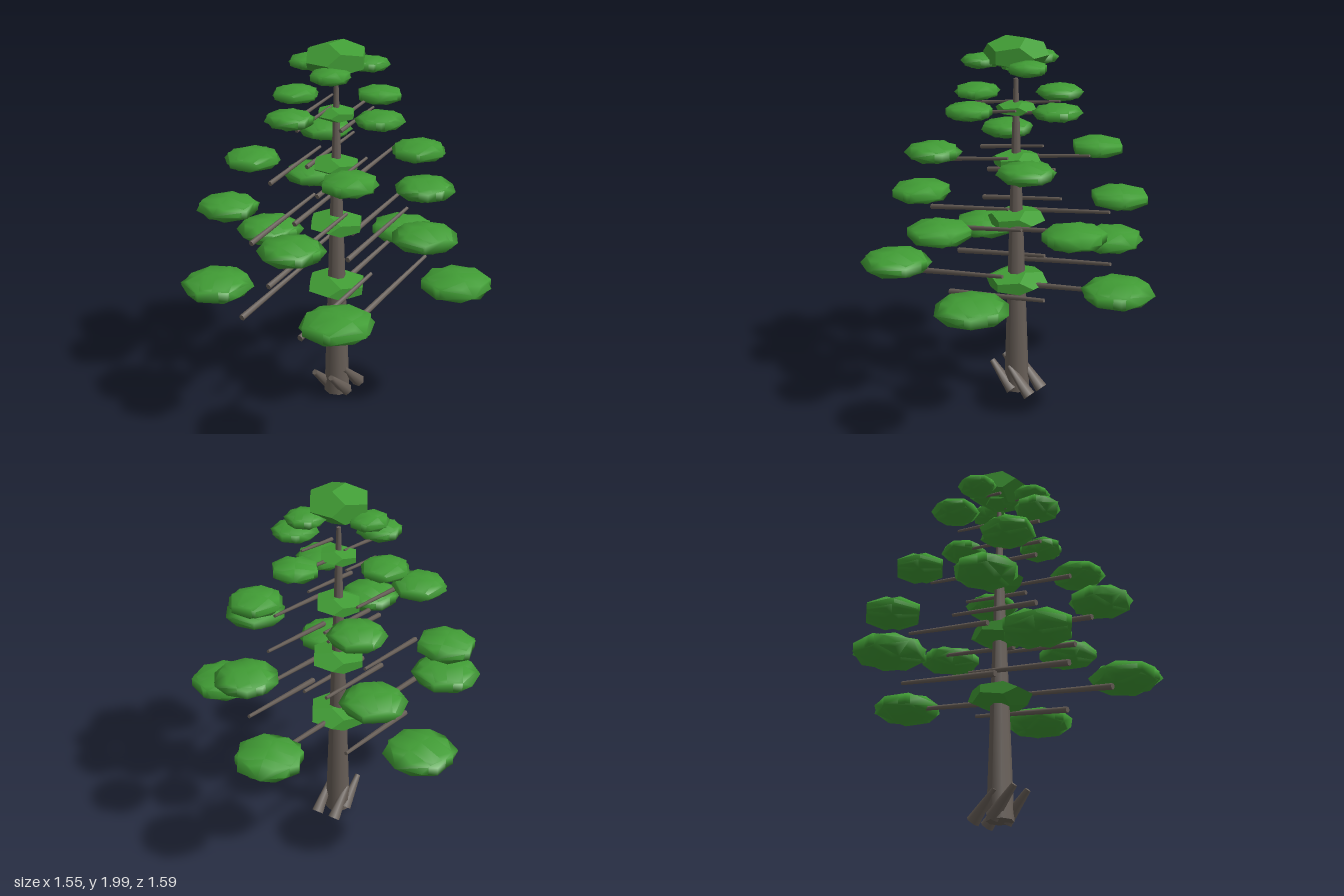
import * as THREE from 'three';

const TRUNK_X = -0.06;

// One entry per level: pads, their ring, size and height, and the inner clump and branch on that level
const TIERS = [
  { count: 5, turn: 0.0, ring: 0.65, y: 0.77, r: 0.195, h: 0.06, clumpY: 0.675, clumpR: 0.175, clumpH: 0.055, branchY: 0.708, length: 0.63 },
  { count: 5, turn: 0.39, ring: 0.57, y: 1.105, r: 0.172, h: 0.054, clumpY: 1.03, clumpR: 0.16, clumpH: 0.05, branchY: 1.047, length: 0.55 },
  { count: 4, turn: 0.8, ring: 0.43, y: 1.41, r: 0.152, h: 0.049, clumpY: 1.355, clumpR: 0.135, clumpH: 0.042, branchY: 1.365, length: 0.43 },
  { count: 4, turn: 0.19, ring: 0.31, y: 1.665, r: 0.13, h: 0.042, clumpY: 1.63, clumpR: 0.11, clumpH: 0.035, branchY: 1.635, length: 0.29 },
  { count: 3, turn: 0.58, ring: 0.18, y: 1.87, r: 0.108, h: 0.038, clumpY: 1.85, clumpR: 0.085, clumpH: 0.025, branchY: 1.855, length: 0.17 },
];

export function createModel() {
  const tree = new THREE.Group();
  tree.name = 'tree';
  const bark = new THREE.MeshStandardMaterial({ color: 0x675e57 });
  bark.name = 'bark';
  const leaves = new THREE.MeshStandardMaterial({ color: 0x419d35 });
  leaves.name = 'leaf green';

  let seed = 7;
  const random = () => (seed = (seed * 16807) % 2147483647) / 2147483647;

  const add = (parent, name, geometry, material, x, y, z) => {
    const mesh = new THREE.Mesh(geometry, material);
    mesh.name = name;
    mesh.position.set(x, y, z);
    parent.add(mesh);
    return mesh;
  };

  // Sharp-edged clump, and a softly shaded lump with round normals for the pads
  const clump = new THREE.DodecahedronGeometry(1);
  const lump = clump.clone();
  lump.setAttribute('normal', lump.getAttribute('position').clone());
  const TOP = 0.934; // height of the unit dodecahedron above its centre

  // Trunk
  add(tree, 'trunk', new THREE.CylinderGeometry(0.012, 0.07, 1.765, 8), bark, TRUNK_X, 0.9025, 0);

  // Four slanting roots, thick end down
  const rootShape = new THREE.CylinderGeometry(0.016, 0.036, 0.2, 6);
  for (const sx of [-1, 1]) for (const sz of [-1, 1]) {
    const root = add(tree, 'root', rootShape, bark, TRUNK_X + sx * 0.06, 0.1, sz * 0.055);
    root.rotation.z = Math.PI / 4;
  }

  TIERS.forEach((t, level) => {
    const tier = new THREE.Group();
    tier.name = `tier${level + 1}`;
    tree.add(tier);

    // Clump around the trunk
    add(tier, 'innerClump', clump, leaves, TRUNK_X, t.clumpY, 0)
      .scale.set(t.clumpR, t.clumpH / TOP, t.clumpR);

    const thick = 0.017 - level * 0.002;
    const branchShape = new THREE.CylinderGeometry(thick * 0.6, thick, t.length, 6);

    for (let i = 0; i < t.count; i++) {
      const a = t.turn + (i / t.count) * Math.PI * 2;
      const dx = Math.cos(a) * t.ring, dz = Math.sin(a) * t.ring;

      // Branch, always rising gently towards +x
      const branch = add(tier, 'branch', branchShape, bark, TRUNK_X + dx * 0.49, t.branchY, dz * 0.49);
      branch.rotation.z = -Math.PI / 2 + 0.18;

      // Leaf pad from two interlocking flattened lumps
      const pad = new THREE.Group();
      pad.name = 'leafPad';
      pad.position.set(TRUNK_X + dx, t.y, dz);
      tier.add(pad);
      const spin = random() * Math.PI;
      for (const [k, size] of [1, 0.96].entries()) {
        const part = add(pad, 'leafLump', lump, leaves, 0, 0, 0);
        part.scale.set(t.r * size, t.h / TOP, t.r * size);
        part.rotation.y = spin + k * (0.5 + random() * 0.6);
      }
    }
  });

  // Crown clump
  add(tree, 'crown', clump, leaves, TRUNK_X, 1.915, 0).scale.set(0.175, 0.085 / TOP, 0.175);

  return tree;
}
